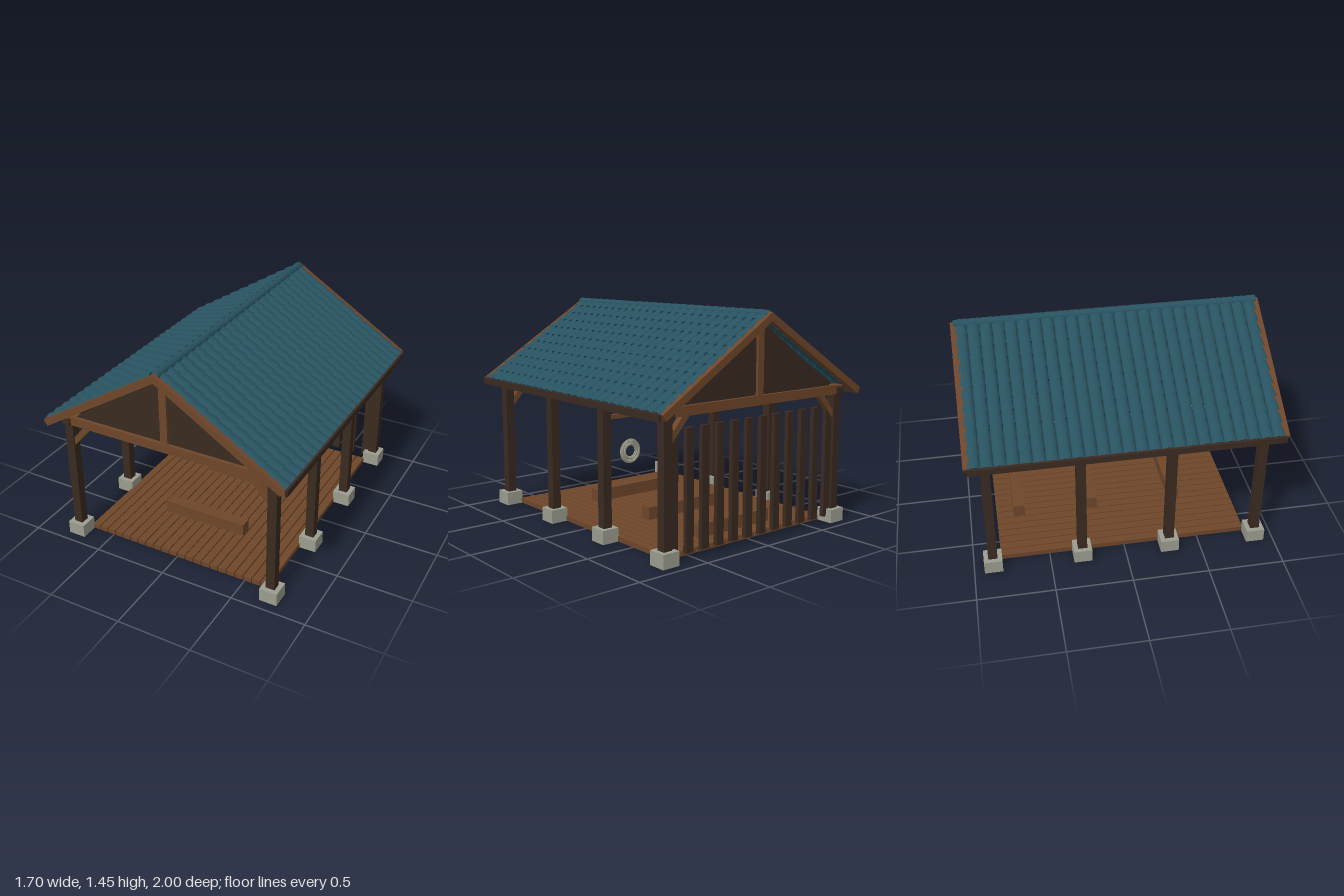
import * as THREE from 'three';
import { mergeGeometries } from 'three/addons/utils/BufferGeometryUtils.js';

const mat = (name, color, extra = {}) => {
  const m = new THREE.MeshStandardMaterial({ color, ...extra });
  m.name = name;
  return m;
};

export function createModel() {
  const root = new THREE.Group();
  root.name = 'pavilion';
  const wood = mat('warmWood', 0x6e462a);
  const dark = mat('darkWood', 0x3a2a20);
  const stone = mat('stone', 0x9c9d8f);
  const rope = mat('rope', 0xa3a28e);
  const tile = mat('roofTile', 0x285260, { side: THREE.DoubleSide });

  const add = (name, geo, material) => {
    const m = new THREE.Mesh(geo, material);
    m.name = name;
    root.add(m);
    return m;
  };
  const box = (name, material, w, h, d, x, y, z) => {
    const m = add(name, new THREE.BoxGeometry(w, h, d), material);
    m.position.set(x, y, z);
    return m;
  };

  // Floor planks running front to back
  for (let i = 0; i < 22; i++) {
    box('floorPlank', wood, 0.054, 0.033, 1.64, (i - 10.5) * 0.061, 0.0185, 0);
  }

  // Stone footings and posts
  for (const s of [-1, 1]) {
    for (const z of [-0.875, -0.29, 0.29, 0.875]) {
      box('footing', stone, 0.12, 0.09, 0.12, s * 0.72, 0.045, z);
      box('post', dark, 0.06, 0.78, 0.06, s * 0.72, 0.48, z);
    }
    box('wallPlate', dark, 0.06, 0.045, 1.86, s * 0.72, 0.889, 0);
    box('eaveFascia', dark, 0.02, 0.042, 1.96, s * 0.84, 0.887, 0);
  }

  // Back wall slats
  for (let i = 0; i < 12; i++) {
    box('wallSlat', dark, 0.055, 0.75, 0.03, (i - 5.5) * 0.12, 0.415, -0.875);
  }

  // Benches
  for (const z of [0.42, -0.163, -0.665]) {
    box('bench', wood, 0.6, 0.095, 0.077, 0, 0.0725, z);
  }

  // Cross bar with hanging rope coil
  box('crossBar', wood, 1.28, 0.027, 0.036, 0, 0.767, -0.22);
  for (let i = 0; i < 5; i++) {
    const ring = add('ropeCoil', new THREE.TorusGeometry(0.04 + i * 0.0085, 0.0055, 6, 32), rope);
    ring.position.set(0.47, 0.53, -0.222 - (i % 2) * 0.004);
  }

  // Gable trusses at both ends
  const triangle = new THREE.Shape([
    new THREE.Vector2(-0.67, 0.915), new THREE.Vector2(0.67, 0.915), new THREE.Vector2(0, 1.388),
  ]);
  for (const e of [-1, 1]) {
    const z = e * 0.885;
    box('tieBeam', wood, 1.5, 0.06, 0.065, 0, 0.895, z);
    box('kingPost', wood, 0.05, 0.465, 0.055, 0, 1.155, z);
    const panel = add('gablePanel',
      new THREE.ExtrudeGeometry(triangle, { depth: 0.02, bevelEnabled: false }), dark);
    panel.position.z = z - 0.01;
    for (const s of [-1, 1]) {
      const brace = box('kneeBrace', wood, 0.04, 0.2, 0.04, s * 0.635, 0.797, e * 0.875);
      brace.rotation.z = s * 0.72;
    }
  }
  box('ridgeBeam', dark, 0.03, 0.05, 1.9, 0, 1.355, 0);

  // Roof slopes: t runs down the slope from the apex, h is height above the slope line
  const apex = 1.43, angle = Math.atan(0.627);
  const cos = Math.cos(angle), sin = Math.sin(angle);
  const onSlope = (s, t, h, z) =>
    new THREE.Vector3(s * (t * cos + h * sin), apex - t * sin + h * cos, z);
  const slopeBeam = (name, material, s, t0, t1, top, depth, width, z) => {
    const m = add(name, new THREE.BoxGeometry(t1 - t0, depth, width), material);
    m.position.copy(onSlope(s, (t0 + t1) / 2, top - depth / 2, z));
    m.rotation.z = -s * angle;
  };

  const tiles = [];
  const rows = 11, columns = 25, pitch = 0.078, step = 0.985 / rows;
  const half = new THREE.CylinderGeometry(0.037, 0.042, step * 1.2, 8, 1, true, 0, Math.PI);
  half.scale(0.62, 1, 1);
  half.rotateZ(0.1);
  for (const s of [-1, 1]) {
    for (const e of [-1, 1]) slopeBeam('bargeBoard', wood, s, 0, 0.985, 0, 0.045, 0.042, e * 0.979);
    for (let k = -4; k <= 4; k++) {
      slopeBeam('rafter', dark, s, 0.02, 0.985, -0.018, 0.035, 0.03, k * 0.195);
    }
    // Barrel tiles, each course lapping the one below
    const normal = new THREE.Vector3(s * sin, cos, 0);
    const up = new THREE.Vector3(-s * cos, sin, 0);
    const basis = new THREE.Matrix4().makeBasis(normal, up, normal.clone().cross(up));
    for (let r = 0; r < rows; r++) {
      for (let c = 0; c < columns; c++) {
        const p = onSlope(s, (r + 0.42) * step, -0.016, (c - 12) * pitch);
        tiles.push(half.clone().applyMatrix4(basis.clone().setPosition(p)));
      }
    }
  }
  add('roofTiles', mergeGeometries(tiles), tile);

  // Overlapping ridge caps
  const caps = [];
  for (let i = 0; i < 25; i++) {
    const cap = new THREE.CylinderGeometry(0.027, 0.032, 0.092, 12, 1, true, -Math.PI / 2, Math.PI);
    cap.rotateX(-Math.PI / 2);
    caps.push(cap.translate(0, 1.413, (i - 12) * pitch));
  }
  add('ridgeCaps', mergeGeometries(caps), tile);

  return root;
}
